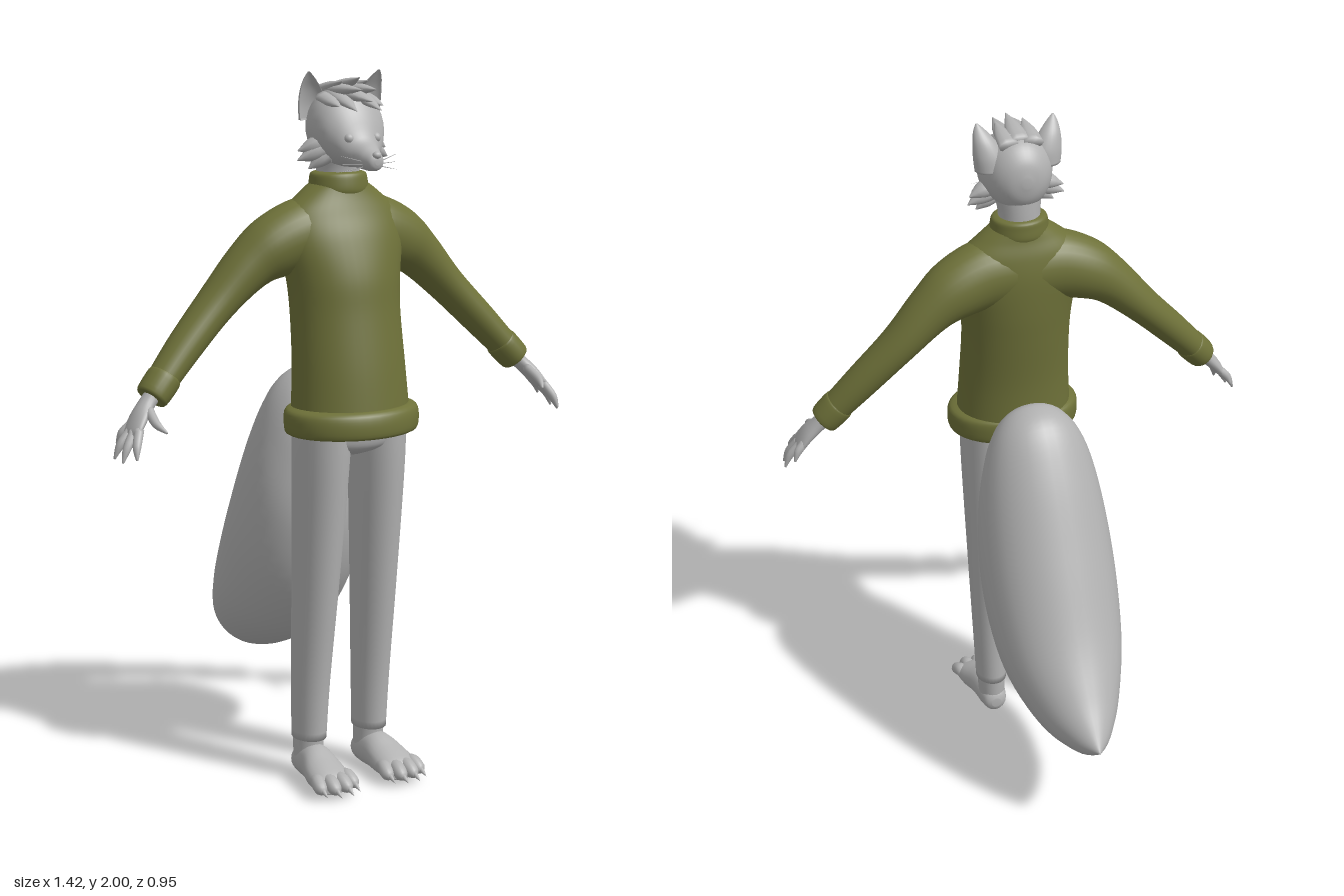
import * as THREE from 'three';

const fur = new THREE.MeshStandardMaterial({ color: 0xb2b2b2 });
fur.name = 'grey fur';
const wool = new THREE.MeshStandardMaterial({ color: 0x6e7139 });
wool.name = 'olive wool';

// Smooth curve through b and c, with neighbours a and d
const blend = (a, b, c, d, t) => {
  const cubic = 3 * (b - c) + d - a;
  const square = 2 * a - 5 * b + 4 * c - d;
  return b + 0.5 * t * (c - a + t * (square + t * cubic));
};

// Skin over elliptical rings; each row is [centre xyz, axis u xyz, axis v xyz].
// cup folds the +v half of each ring inwards to make a hollow shell.
function loft(rows, segs = 24, steps = 5, cup = 0) {
  const rings = [];
  for (let i = 0; i < rows.length - 1; i++) {
    const a = rows[Math.max(i - 1, 0)], b = rows[i], c = rows[i + 1];
    const d = rows[Math.min(i + 2, rows.length - 1)];
    for (let k = 0; k < steps; k++) {
      rings.push(b.map((p, j) => blend(a[j], p, c[j], d[j], k / steps)));
    }
  }
  rings.push(rows[rows.length - 1]);
  const pos = [], idx = [];
  for (const r of rings) {
    for (let s = 0; s < segs; s++) {
      const ang = (s / segs) * Math.PI * 2, c = Math.cos(ang);
      let n = Math.sin(ang);
      if (cup && n > 0) n *= -cup;
      for (let j = 0; j < 3; j++) pos.push(r[j] + r[3 + j] * c + r[6 + j] * n);
    }
  }
  const last = rings.length - 1, capA = rings.length * segs, capB = capA + 1;
  pos.push(...rings[0].slice(0, 3), ...rings[last].slice(0, 3));
  for (let s = 0; s < segs; s++) {
    const n = (s + 1) % segs;
    for (let i = 0; i < last; i++) {
      const a = i * segs + s, b = i * segs + n;
      idx.push(a, b, a + segs, b, b + segs, a + segs);
    }
    idx.push(capA, n, s, capB, last * segs + s, last * segs + n);
  }
  // Signed volume tells whether the faces point inwards
  let vol = 0;
  const P = (i) => new THREE.Vector3().fromArray(pos, i * 3);
  for (let i = 0; i < idx.length; i += 3) vol += P(idx[i]).dot(P(idx[i + 1]).cross(P(idx[i + 2])));
  if (vol < 0) idx.reverse();
  const g = new THREE.BufferGeometry();
  g.setAttribute('position', new THREE.Float32BufferAttribute(pos, 3));
  g.setIndex(idx);
  g.computeVertexNormals();
  return g;
}

// Rings lying flat, stacked upwards: [x, y, z, rx, rz]
const stack = (list) => list.map(([x, y, z, rx, rz]) => [x, y, z, rx, 0, 0, 0, 0, rz]);
// Rings standing upright, running forwards: [x, y, z, rx, ry]
const forward = (list) => list.map(([x, y, z, rx, ry]) => [x, y, z, rx, 0, 0, 0, ry, 0]);
// Rings square to a path: [x, y, z, r, r along ref]
function limb(list, ref = new THREE.Vector3(0, 0, 1)) {
  const pts = list.map((p) => new THREE.Vector3(p[0], p[1], p[2]));
  return list.map((p, i) => {
    const t = pts[Math.min(i + 1, pts.length - 1)].clone().sub(pts[Math.max(i - 1, 0)]).normalize();
    const u = t.clone().cross(ref).normalize();
    const v = u.clone().cross(t);
    return [...pts[i].toArray(), ...u.multiplyScalar(p[3]).toArray(),
      ...v.multiplyScalar(p[4] ?? p[3]).toArray()];
  });
}
const mirror = (rows, s) => rows.map((r) => r.map((v, j) => (j % 3 === 0 ? v * s : v)));
const UP = new THREE.Vector3(0, 1, 0);

// Pointed lock, claw or whisker
function spike(a, b, r, flat = r) {
  const mid = a.map((v, i) => (v + b[i]) / 2);
  return limb([[...a, r, flat], [...mid, r * 0.75, flat * 0.75], [...b, r * 0.04, flat * 0.04]], UP);
}

export function createModel() {
  const model = new THREE.Group();
  const add = (name, geo, mat = fur) => {
    const m = new THREE.Mesh(geo, mat);
    m.name = name;
    model.add(m);
    return m;
  };
  const pair = (name, rows, mat = fur, segs = 24, steps = 5, cup = 0) => {
    for (const s of [1, -1]) add((s > 0 ? 'left ' : 'right ') + name, loft(mirror(rows, s), segs, steps, cup), mat);
  };

  // Sweater
  add('sweater body', loft(stack([
    [0, 1.06, 0.296, 0.173, 0.141], [0, 1.2, 0.286, 0.164, 0.133], [0, 1.35, 0.266, 0.16, 0.128],
    [0, 1.45, 0.254, 0.168, 0.125], [0, 1.55, 0.238, 0.188, 0.111], [0, 1.62, 0.228, 0.176, 0.092],
    [0, 1.67, 0.226, 0.122, 0.075], [0, 1.70, 0.225, 0.08, 0.068]]), 40, 6), wool);
  add('sweater hem', loft(stack([
    [0, 1.021, 0.303, 0.165, 0.125], [0, 1.024, 0.303, 0.192, 0.149], [0, 1.056, 0.303, 0.198, 0.153],
    [0, 1.086, 0.301, 0.193, 0.148], [0, 1.097, 0.298, 0.168, 0.135]]), 40, 4), wool);
  add('collar', loft(stack([
    [0, 1.665, 0.226, 0.078, 0.07], [0, 1.68, 0.226, 0.085, 0.076], [0, 1.705, 0.226, 0.083, 0.074],
    [0, 1.724, 0.225, 0.078, 0.07], [0, 1.73, 0.225, 0.062, 0.058]]), 32, 4), wool);
  pair('sleeve', limb([
    [0, 1.565, 0.22, 0.105, 0.09], [0.11, 1.56, 0.22, 0.102, 0.09], [0.2, 1.53, 0.213, 0.088, 0.085],
    [0.275, 1.48, 0.207, 0.068, 0.073], [0.37, 1.388, 0.207, 0.053, 0.063],
    [0.48, 1.277, 0.225, 0.047, 0.054], [0.583, 1.167, 0.25, 0.039, 0.045]]), wool, 28);
  pair('sleeve cuff', limb([
    [0.54, 1.213, 0.24, 0.038, 0.045], [0.544, 1.208, 0.241, 0.046, 0.051],
    [0.583, 1.166, 0.25, 0.044, 0.049], [0.588, 1.161, 0.251, 0.034, 0.038]]), wool, 24, 4);

  // Legs and feet
  add('hips', loft(stack([[0, 0.955, 0.285, 0.045, 0.04], [0, 0.975, 0.287, 0.12, 0.085],
    [0, 1.0, 0.29, 0.162, 0.1], [0, 1.06, 0.292, 0.165, 0.105]]), 32));
  pair('leg', stack([
    [0.088, 1.05, 0.291, 0.077, 0.1], [0.091, 0.9, 0.287, 0.073, 0.095], [0.095, 0.6, 0.27, 0.063, 0.08],
    [0.099, 0.3, 0.25, 0.053, 0.064], [0.1, 0.125, 0.243, 0.047, 0.058]]), fur, 28);
  pair('ankle', stack([[0.1, 0.14, 0.24, 0.042, 0.05], [0.1, 0.09, 0.24, 0.042, 0.048],
    [0.1, 0.03, 0.245, 0.04, 0.05]]));
  pair('foot', forward([
    [0.1, 0.045, 0.188, 0.015, 0.015], [0.1, 0.047, 0.2, 0.034, 0.036], [0.1, 0.053, 0.235, 0.043, 0.049],
    [0.103, 0.058, 0.29, 0.05, 0.054], [0.108, 0.047, 0.345, 0.06, 0.044],
    [0.11, 0.036, 0.4, 0.06, 0.031], [0.111, 0.032, 0.42, 0.048, 0.02]]));
  const toes = [[0.066, 0.058, 0.42], [0.094, 0.09, 0.44], [0.125, 0.128, 0.44], [0.151, 0.162, 0.42]];
  toes.forEach(([x0, x1, z], i) => {
    pair(`toe ${i + 1}`, limb([[x0, 0.042, 0.36, 0.016], [(x0 + x1) / 2, 0.046, z - 0.03, 0.021],
      [x1, 0.034, z, 0.018], [x1, 0.028, z + 0.014, 0.006]], UP), fur, 14, 4);
    pair(`toe claw ${i + 1}`, spike([x1, 0.038, z], [x1, 0.022, z + 0.037], 0.008), fur, 8, 3);
  });

  // Hands
  pair('palm', limb([
    [0.56, 1.19, 0.246, 0.024, 0.027], [0.6, 1.15, 0.255, 0.021, 0.027], [0.63, 1.118, 0.268, 0.019, 0.037],
    [0.655, 1.085, 0.278, 0.014, 0.042], [0.664, 1.073, 0.28, 0.008, 0.034]]), fur, 18);
  const fingers = [
    [[0.608, 1.135, 0.28], [0.613, 1.108, 0.335], [0.6, 1.09, 0.372]],
    [[0.648, 1.09, 0.305], [0.668, 1.052, 0.331], [0.675, 1.02, 0.346]],
    [[0.655, 1.085, 0.288], [0.684, 1.045, 0.304], [0.7, 1.009, 0.311]],
    [[0.655, 1.085, 0.268], [0.688, 1.05, 0.272], [0.705, 1.013, 0.27]],
    [[0.648, 1.095, 0.25], [0.67, 1.073, 0.243], [0.682, 1.046, 0.236]]];
  fingers.forEach(([a, b, c], i) => pair(i ? `finger ${i}` : 'thumb',
    limb([[...a, 0.013], [...b, 0.0115], [...c, 0.003]], new THREE.Vector3(1, 0, 0)), fur, 12, 4));

  // Tail: upper and lower edge points (y, z) with half width
  const tail = [
    [1.15, 0.155, 1.11, 0.17, 0.04], [1.175, 0.1, 1.0, 0.19, 0.105], [1.145, 0.015, 0.87, 0.196, 0.153],
    [1.02, -0.07, 0.68, 0.185, 0.187], [0.8, -0.18, 0.495, 0.12, 0.2], [0.59, -0.285, 0.335, -0.02, 0.18],
    [0.46, -0.37, 0.25, -0.22, 0.122], [0.385, -0.43, 0.268, -0.385, 0.058], [0.332, -0.474, 0.328, -0.475, 0.002]];
  add('tail', loft(tail.map(([y0, z0, y1, z1, w]) => [0, (y0 + y1) / 2, (z0 + z1) / 2,
    w, 0, 0, 0, (y0 - y1) / 2, (z0 - z1) / 2]), 36, 6));

  // Neck and head
  add('neck', loft(stack([[0, 1.68, 0.225, 0.062, 0.058], [0, 1.74, 0.225, 0.06, 0.058],
    [0, 1.8, 0.235, 0.07, 0.065]])));
  add('head', loft(forward([
    [0, 1.85, 0.15, 0.012, 0.014], [0, 1.85, 0.162, 0.052, 0.06], [0, 1.852, 0.195, 0.086, 0.096],
    [0, 1.855, 0.25, 0.104, 0.109], [0, 1.845, 0.3, 0.098, 0.1], [0, 1.82, 0.337, 0.074, 0.073],
    [0, 1.787, 0.367, 0.044, 0.043], [0, 1.773, 0.4, 0.032, 0.031], [0, 1.768, 0.423, 0.022, 0.022],
    [0, 1.768, 0.43, 0.007, 0.008]]), 32));
  const nose = add('nose', new THREE.SphereGeometry(1, 16, 12));
  nose.scale.set(0.013, 0.01, 0.011);
  nose.position.set(0, 1.786, 0.425);
  for (const s of [1, -1]) {
    const eye = add(s > 0 ? 'left eye' : 'right eye', new THREE.SphereGeometry(0.014, 16, 12));
    eye.position.set(0.042 * s, 1.826, 0.35);
  }
  pair('ear', stack([
    [0.078, 1.87, 0.235, 0.046, 0.04], [0.083, 1.91, 0.236, 0.045, 0.036], [0.094, 1.95, 0.242, 0.033, 0.027],
    [0.104, 1.98, 0.25, 0.018, 0.014], [0.11, 2.0, 0.256, 0.003, 0.003]]), fur, 24, 5, 0.6);

  // Cheek tufts and whiskers
  const tufts = [[[0.07, 1.81, 0.26], [0.138, 1.79, 0.245], 0.034],
    [[0.065, 1.795, 0.265], [0.142, 1.765, 0.25], 0.034], [[0.06, 1.78, 0.27], [0.115, 1.742, 0.262], 0.03]];
  tufts.forEach(([a, b, r], i) => pair(`cheek tuft ${i + 1}`, spike(a, b, r, r * 0.8), fur, 10, 3));
  for (let i = 0; i < 3; i++) {
    pair(`whisker ${i + 1}`, spike([0.028, 1.768 - i * 0.007, 0.4],
      [0.09, 1.785 - i * 0.022, 0.385], 0.0012), fur, 5, 2);
  }

  // Hair locks swept forwards
  add('front lock', loft(spike([0, 1.945, 0.26], [0, 1.925, 0.4], 0.034, 0.018), 10, 3));
  add('crown lock', loft(spike([0, 1.95, 0.21], [0, 1.985, 0.335], 0.032, 0.018), 10, 3));
  const locks = [[[0.03, 1.945, 0.25], [0.038, 1.9, 0.385]], [[0.03, 1.95, 0.23], [0.022, 1.955, 0.385]],
    [[0.035, 1.945, 0.2], [0.04, 1.975, 0.31]], [[0.055, 1.93, 0.25], [0.068, 1.91, 0.345]]];
  locks.forEach(([a, b], i) => pair(`hair lock ${i + 1}`, spike(a, b, 0.03, 0.018), fur, 10, 3));
  return model;
}
